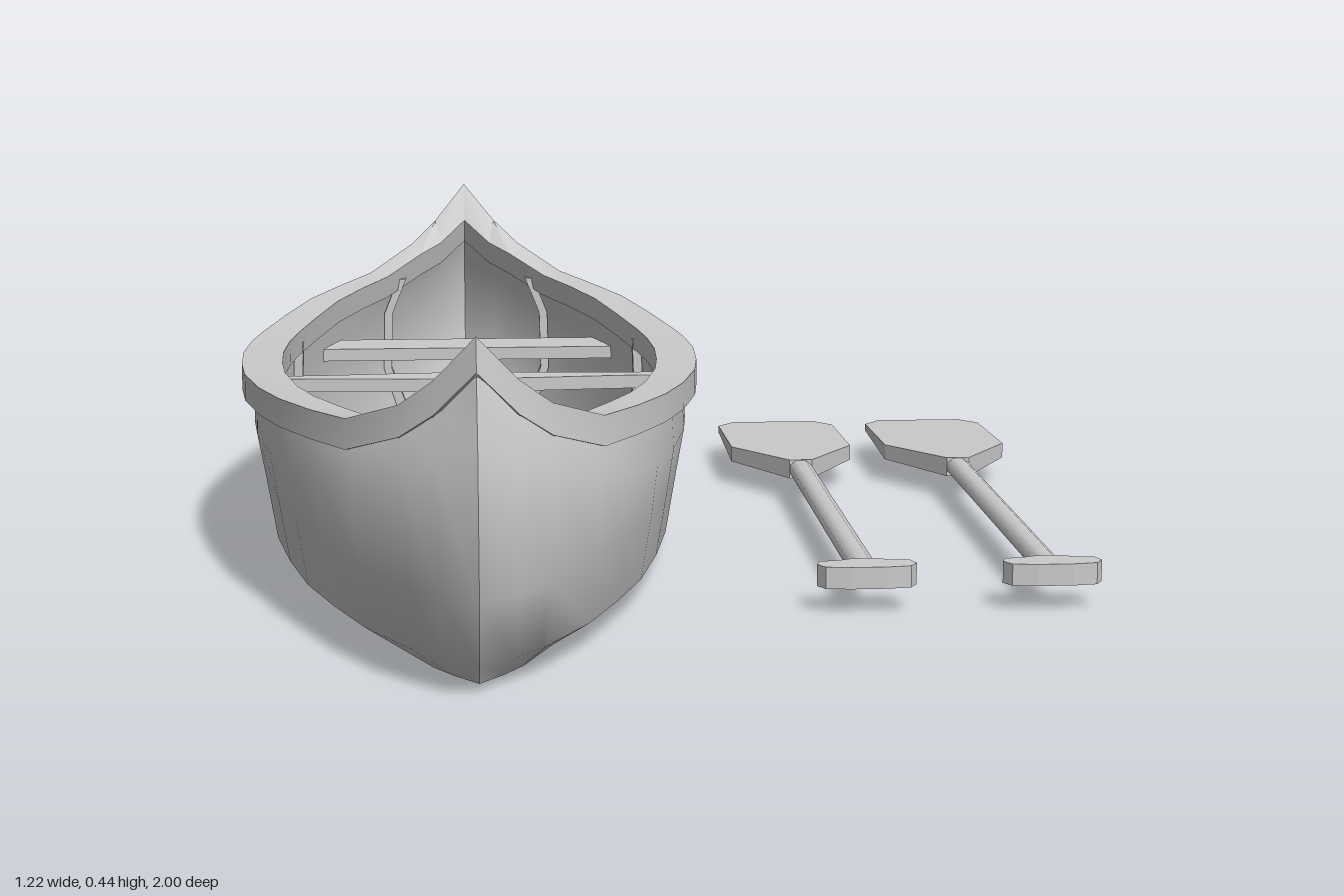
import * as THREE from 'three';
import { toCreasedNormals } from 'three/addons/utils/BufferGeometryUtils.js';

const material = new THREE.MeshStandardMaterial({ color: 0xcccccc, side: THREE.DoubleSide });

// Linear interpolation in a table of [key, value] pairs
function lookup(table, k) {
  for (let i = 1; i < table.length; i++) {
    const [k0, v0] = table[i - 1], [k1, v1] = table[i];
    if (k <= k1) return v0 + ((v1 - v0) * (k - k0)) / (k1 - k0);
  }
  return table[table.length - 1][1];
}

// Plan outline of the boat (fraction of length -> fraction of width) and rail height along z
const PLAN = [[0, 1], [0.12, 0.985], [0.22, 0.955], [0.38, 0.87], [0.53, 0.765], [0.66, 0.63], [0.78, 0.485], [0.9, 0.28], [0.95, 0.155], [1, 0]];
const SHEER = [[0, 0.275], [0.25, 0.275], [0.5, 0.29], [0.7, 0.3], [0.82, 0.34], [0.86, 0.375], [0.905, 0.436]];
const STATIONS = [...PLAN.slice(1).map(([s]) => -s).reverse(), ...PLAN.map(([s]) => s)];
const plan = (s) => lookup(PLAN, Math.abs(s));
const sheer = (z) => lookup(SHEER, Math.abs(z));

// Lengthwise lines: w half-width amidships, end half-length, y height from midships to tip
const rise = (a, b) => (z, s) => a + (b - a) * s ** 4;
const OUTER = [
  { w: 0.32, end: 0.9, y: (z) => sheer(z) - 0.02 },
  { w: 0.322, end: 0.98, y: rise(0.19, 0.31) },
  { w: 0.31, end: 1.0, y: rise(0.13, 0.13) },
  { w: 0.295, end: 0.93, y: rise(0.035, 0.035) },
  { w: 0.2, end: 0.91, y: rise(0, 0.01) },
  { w: 0, end: 0.91, y: rise(0, 0.01) },
];
const INNER = [
  { w: 0.295, end: 0.875, y: (z) => sheer(z) - 0.02 },
  { w: 0.295, end: 0.93, y: rise(0.19, 0.29) },
  { w: 0.288, end: 0.95, y: rise(0.13, 0.13) },
  { w: 0.272, end: 0.9, y: rise(0.05, 0.05) },
  { w: 0.19, end: 0.88, y: rise(0.02, 0.03) },
  { w: 0, end: 0.88, y: rise(0.02, 0.03) },
];
const RAIL = [
  { w: 0.34, end: 0.905, y: (z) => sheer(z) },
  { w: 0.34, end: 0.92, y: (z) => sheer(z * 0.98) - 0.037 },
  { w: 0.28, end: 0.875, y: (z) => sheer(z * 0.98) - 0.037 },
  { w: 0.28, end: 0.86, y: (z) => sheer(z) },
];

// Mirror a list of lines to make a full section from side to side
const bothSides = (lines) => [...lines, ...lines.slice(0, -1).reverse().map((l) => ({ ...l, w: -l.w }))];

// Skin the lines from bow to stern
function loft(lines, { closed = false, flip = false, crease = 0.6 } = {}) {
  const pos = [], idx = [], n = lines.length;
  for (const s of STATIONS) {
    for (const l of lines) {
      const z = s * l.end;
      pos.push(l.w * plan(s), l.y(z, s), z);
    }
  }
  for (let i = 0; i < STATIONS.length - 1; i++) {
    for (let j = 0; j < (closed ? n : n - 1); j++) {
      const k = (j + 1) % n;
      const a = i * n + j, b = a + n, c = i * n + k, d = c + n;
      if (flip) idx.push(a, c, b, b, c, d);
      else idx.push(a, b, c, b, d, c);
    }
  }
  const g = new THREE.BufferGeometry();
  g.setAttribute('position', new THREE.Float32BufferAttribute(pos, 3));
  g.setIndex(idx);
  return toCreasedNormals(g, crease);
}

function add(parent, name, geometry) {
  const mesh = new THREE.Mesh(geometry, material);
  mesh.name = name;
  parent.add(mesh);
  return mesh;
}

// Flat slab from a plan outline of [x, z] points
function slab(outline, y, thickness) {
  const shape = new THREE.Shape(outline.map(([x, z]) => new THREE.Vector2(x, -z)));
  return new THREE.ExtrudeGeometry(shape, { depth: thickness, bevelEnabled: false })
    .rotateX(-Math.PI / 2).translate(0, y, 0);
}
const mirrorOutline = (half) => [...half, ...half.map(([x, z]) => [-x, z]).reverse()];

// Half-width of the inside at z along one of the inner lines
const insideWidth = (z, line) => line.w * plan(Math.min(1, Math.abs(z) / line.end));

// U-shaped band lying against the inside of the hull
function ribGeometry(z) {
  const t = 0.014, depth = 0.024;
  const half = INNER.slice(0, 5).map((l) => [insideWidth(z, l), l.y(z, z / l.end)]);
  const outer = mirrorOutline(half);
  const inner = mirrorOutline(half.map(([x, y], i) => [x - t, i > 2 ? y + t : y])).reverse();
  const shape = new THREE.Shape([...outer, ...inner].map(([x, y]) => new THREE.Vector2(x, y)));
  return new THREE.ExtrudeGeometry(shape, { depth, bevelEnabled: false }).translate(0, 0, z - depth / 2);
}

function createCanoe() {
  const canoe = new THREE.Group();
  canoe.name = 'canoe';
  add(canoe, 'hull', loft(bothSides(OUTER)));
  add(canoe, 'hullInside', loft(bothSides(INNER), { flip: true }));

  // Rails along both sides, meeting at the tips
  add(canoe, 'leftRail', loft(RAIL, { closed: true }));
  add(canoe, 'rightRail', loft(RAIL.map((l) => ({ ...l, w: -l.w })), { closed: true, flip: true }));

  for (const z of [-0.725, -0.23, 0.215, 0.71]) add(canoe, 'rib', ribGeometry(z));

  // Bench seats fitted to the sides
  for (const [name, z0, z1] of [['frontSeat', 0.41, 0.51], ['backSeat', -0.53, -0.43]]) {
    const half = [[insideWidth(z0, INNER[1]), z0], [insideWidth(z1, INNER[1]), z1]];
    add(canoe, name, slab(mirrorOutline(half), 0.19, 0.02));
  }

  // Middle crossbar, wider at its centre
  const edge = [];
  for (let i = 0; i <= 12; i++) {
    const x = -0.29 + (0.58 * i) / 12;
    edge.push([x, 0.014 + 0.016 * Math.cos((x / 0.29) * Math.PI / 2) ** 2]);
  }
  add(canoe, 'crossbar', slab([...edge, ...edge.map(([x, z]) => [x, -z]).reverse()], 0.215, 0.02).translate(0, 0, -0.006));
  return canoe;
}

function createPaddle() {
  const paddle = new THREE.Group();
  paddle.name = 'paddle';

  // Blade thins towards its end
  const blade = slab(mirrorOutline([[0.018, -0.17], [0.098, -0.3], [0.098, -0.52], [0.07, -0.56]]), -0.015, 0.03);
  const p = blade.attributes.position;
  for (let i = 0; i < p.count; i++) {
    const k = THREE.MathUtils.clamp((-0.2 - p.getZ(i)) / 0.36, 0, 1);
    p.setY(i, p.getY(i) * (1 - 0.7 * k));
  }
  blade.computeVertexNormals();
  add(paddle, 'blade', blade);

  const shaft = new THREE.CylinderGeometry(0.019, 0.019, 0.71, 8).rotateY(Math.PI / 8).rotateX(Math.PI / 2);
  add(paddle, 'shaft', shaft.scale(1, 0.8, 1).translate(0, 0, 0.175));

  const grip = [[0.018, 0.515], [0.035, 0.523], [0.062, 0.527], [0.068, 0.545], [0.058, 0.562], [0.025, 0.567]];
  add(paddle, 'grip', slab(mirrorOutline(grip), -0.015, 0.03));
  return paddle;
}

export function createModel() {
  const model = new THREE.Group();
  model.name = 'canoeWithPaddles';
  const canoe = createCanoe();
  canoe.position.x = -0.27;
  model.add(canoe);
  for (const x of [0.258, 0.512]) {
    const paddle = createPaddle();
    paddle.position.set(x, 0.049, 0);
    model.add(paddle);
  }
  return model;
}
